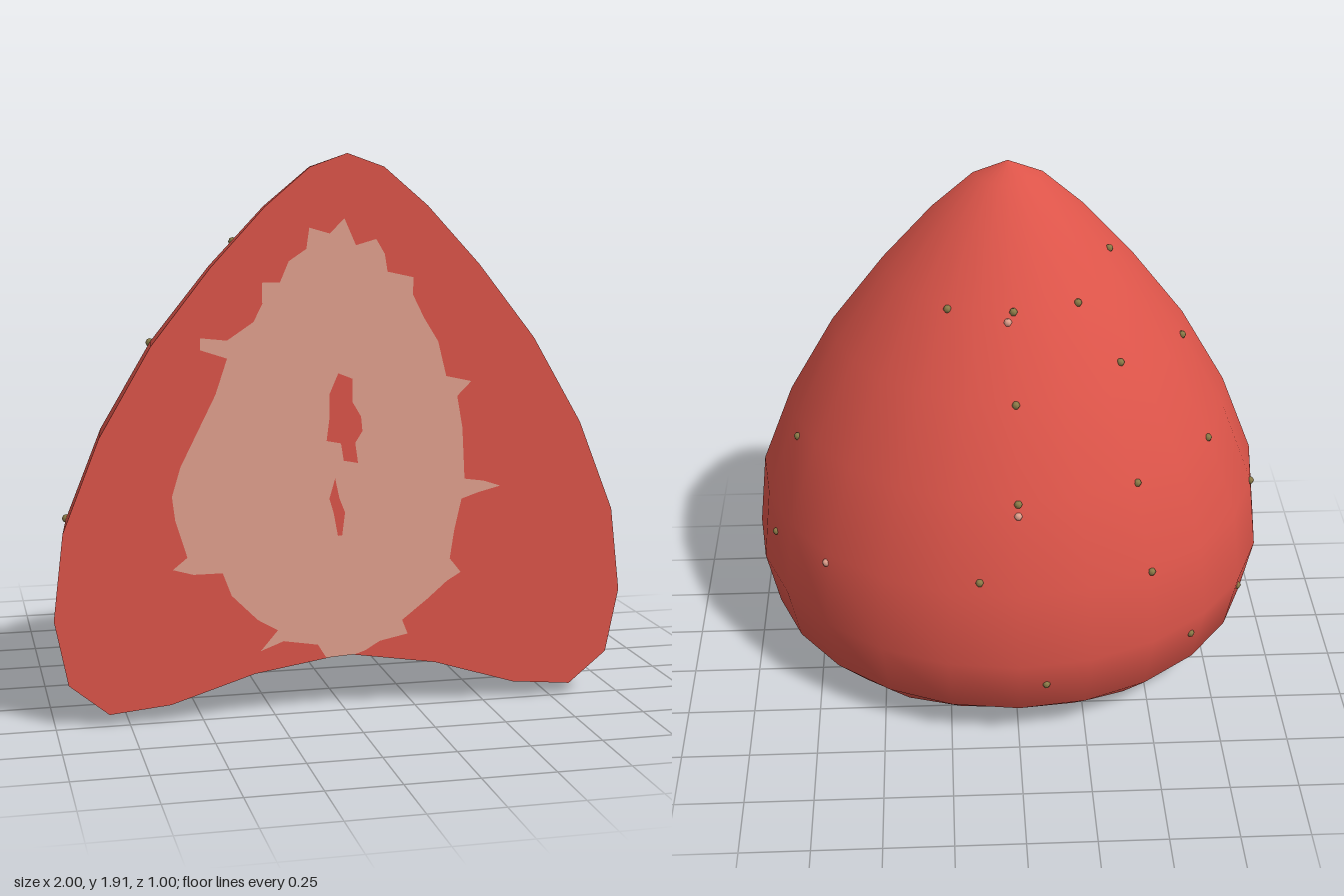
import * as THREE from 'three';

const CUT = 0.5; // z of the flat cut face

function material(name, color) {
  const m = new THREE.MeshStandardMaterial({ color });
  m.name = name;
  return m;
}

const points = (list) => list.map(([x, y]) => new THREE.Vector2(x, y));

// Radius and height, from the hollow underside up to the tip
const profile = [
  [0, 0.2], [0.32, 0.15], [0.61, 0.06], [0.82, 0.04], [0.955, 0.15], [1, 0.375],
  [0.965, 0.67], [0.84, 0.985], [0.665, 1.285], [0.465, 1.54], [0.28, 1.74], [0.127, 1.87], [0, 1.915],
];

// Ragged outline of the pale core
const coreOutline = [
  [-0.01, 1.7], [0.03, 1.61], [0.1, 1.63], [0.13, 1.58], [0.14, 1.52], [0.23, 1.5], [0.23, 1.44],
  [0.27, 1.36], [0.32, 1.28], [0.35, 1.16], [0.44, 1.14], [0.39, 1.09], [0.41, 0.98], [0.42, 0.8],
  [0.49, 0.79], [0.55, 0.77], [0.47, 0.75], [0.41, 0.73], [0.385, 0.62], [0.37, 0.52], [0.41, 0.47],
  [0.36, 0.44], [0.29, 0.38], [0.2, 0.31], [0.22, 0.26], [0.12, 0.24], [0.07, 0.21], [0.03, 0.197],
  [-0.07, 0.192], [-0.1, 0.24], [-0.22, 0.26], [-0.3, 0.23], [-0.24, 0.3], [-0.31, 0.34], [-0.4, 0.43],
  [-0.43, 0.51], [-0.53, 0.51], [-0.6, 0.53], [-0.55, 0.57], [-0.59, 0.7], [-0.6, 0.78], [-0.57, 0.88],
  [-0.5, 1.02], [-0.45, 1.12], [-0.41, 1.24], [-0.5, 1.27], [-0.5, 1.31], [-0.41, 1.3], [-0.32, 1.36],
  [-0.29, 1.42], [-0.29, 1.49], [-0.23, 1.49], [-0.2, 1.56], [-0.14, 1.6], [-0.13, 1.67], [-0.06, 1.65],
];
const coreHoles = [
  [[-0.03, 1.18], [0.02, 1.16], [0.02, 1.08], [0.05, 1.03], [0.055, 0.98], [0.03, 0.94], [0.04, 0.87],
    [-0.01, 0.88], [-0.02, 0.94], [-0.07, 0.95], [-0.06, 1.03], [-0.06, 1.11]],
  [[-0.04, 0.82], [-0.025, 0.75], [-0.005, 0.7], [-0.015, 0.62], [-0.03, 0.62], [-0.045, 0.7], [-0.06, 0.75]],
];

// Seeds as [x, distance behind the cut, height]
const seeds = [
  [0, 0.84, 0.98], [0, 0.67, 1.28], [0, 0.46, 1.54], [-0.23, 0.4, 1.54], [-0.39, 0.495, 1.34],
  [-0.72, 0.425, 0.98], [-0.65, 0.18, 1.28], [-0.37, 0.135, 1.62], [-0.92, 0.25, 0.67],
  [0.14, 0.93, 0.71], [-0.43, 0.72, 0.98], [-0.48, 0.83, 0.67], [-0.1, 0.98, 0.27],
  [-0.65, 0.72, 0.3], [-0.87, 0.43, 0.3], [0.8, 0.285, 0.94], [0.9, 0.35, 0.555], [0.23, 0.41, 1.53],
];
const paleSeeds = [[0.69, 0.665, 0.63], [0.02, 0.48, 1.51], [0, 0.86, 0.94]];

// Radius of the skin above the widest underside ring
function skinRadius(y) {
  for (let i = 4; i < profile.length; i++) {
    const [r0, y0] = profile[i - 1], [r1, y1] = profile[i];
    if (y <= y1) return r0 + ((r1 - r0) * (y - y0)) / (y1 - y0);
  }
  return 0;
}

export function createModel() {
  const red = material('red flesh', 0xdc5449);
  const cream = material('pale core', 0xe2a18e);
  const olive = material('olive seed', 0x8c7b48);
  const group = new THREE.Group();
  group.name = 'halvedBerry';

  const add = (name, geometry, mat, z = CUT) => {
    const mesh = new THREE.Mesh(geometry, mat);
    mesh.name = name;
    mesh.position.z = z;
    group.add(mesh);
    return mesh;
  };

  // Rounded skin: half a turn, with a gently waving lower lip
  const skin = new THREE.LatheGeometry(points(profile), 12, Math.PI / 2, Math.PI);
  const pos = skin.attributes.position;
  for (let i = 0; i < pos.count; i++) {
    if (Math.abs(pos.getY(i) - 0.04) < 0.001) {
      const angle = Math.atan2(pos.getZ(i), pos.getX(i));
      pos.setY(i, 0.02 + 0.02 * Math.cos(4 * angle));
    }
  }
  add('skin', skin, red);

  // Flat cut face
  const mirrored = profile.slice(1, -1).reverse().map(([r, y]) => [-r, y]);
  add('cutFace', new THREE.ShapeGeometry(new THREE.Shape(points([...profile, ...mirrored]))), red);

  // Pale core with two red gaps
  const core = new THREE.Shape(points(coreOutline));
  core.holes = coreHoles.map((hole) => new THREE.Path(points(hole)));
  add('core', new THREE.ShapeGeometry(core), cream, CUT + 0.003);

  // Tiny seeds set into the skin
  const seedShape = new THREE.SphereGeometry(0.015, 6, 4);
  const scatter = (name, list, mat) => {
    for (const [x, back, y] of list) {
      const angle = Math.atan2(back, x);
      // Pull each seed onto the flat facet it sits in
      const step = Math.PI / 12;
      const off = angle - (Math.floor(angle / step) + 0.5) * step;
      const r = (skinRadius(y) * Math.cos(step / 2)) / Math.cos(off);
      const seed = add(name, seedShape, mat);
      seed.position.set(r * Math.cos(angle), y, CUT - r * Math.sin(angle));
    }
  };
  scatter('seed', seeds, olive);
  scatter('paleSeed', paleSeeds, cream);

  return group;
}
